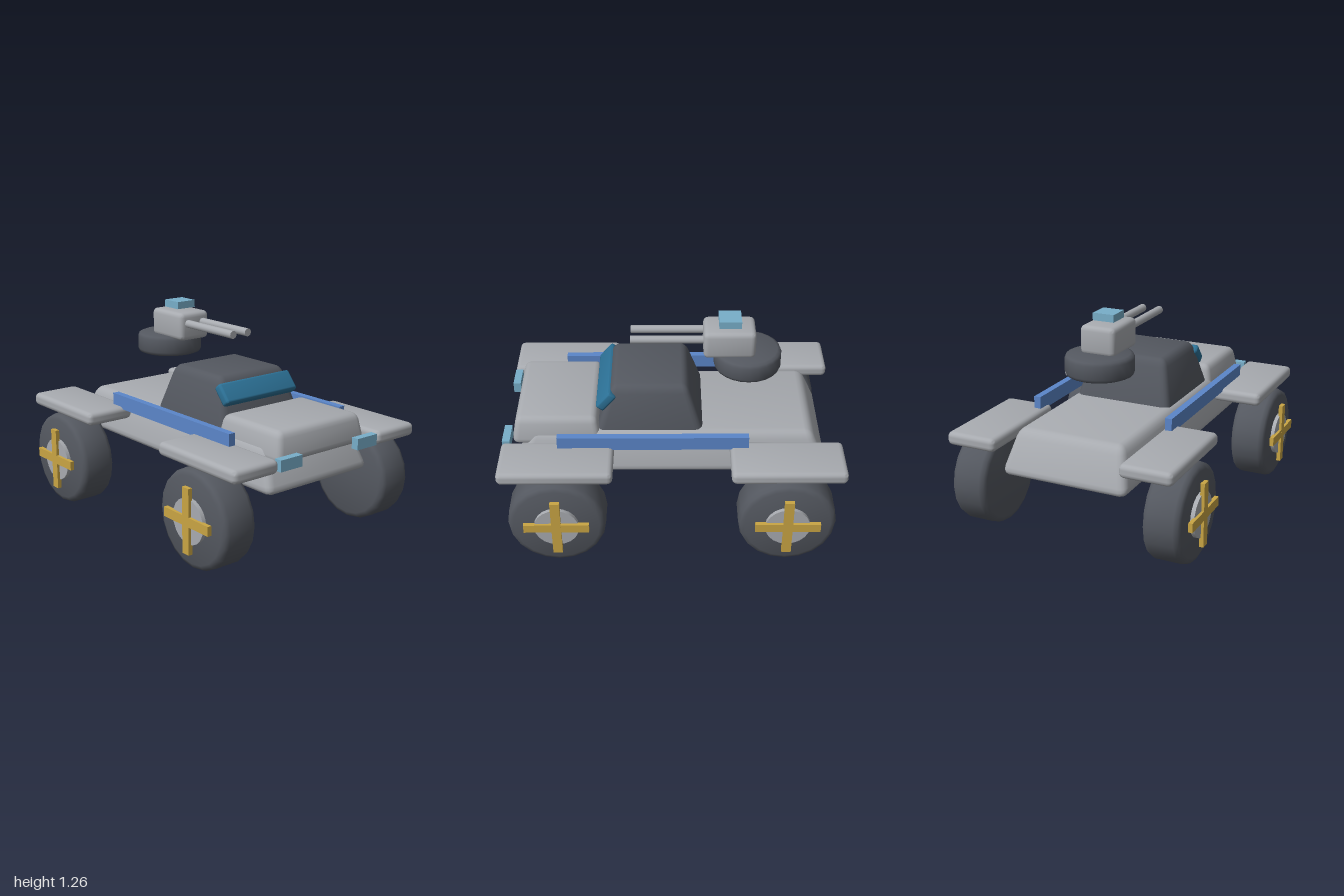
import * as THREE from 'three';
import { toCreasedNormals } from 'three/addons/utils/BufferGeometryUtils.js';
import { RoundedBoxGeometry } from 'three/addons/geometries/RoundedBoxGeometry.js';

const paint = (name, color) => {
  const m = new THREE.MeshStandardMaterial({ color });
  m.name = name;
  return m;
};

export function createModel() {
  const grey = paint('hull grey', 0xa8abb0);
  const dark = paint('dark rubber', 0x545860);
  const gold = paint('gold', 0xc9a544);
  const lamp = paint('pale blue lamp', 0x78aec9);
  const glass = paint('teal glass', 0x2c7196);
  const blue = paint('rail blue', 0x5b86c9);

  const model = new THREE.Group();
  model.name = 'buggy';

  const add = (name, geometry, material, x, y, z, parent = model) => {
    const mesh = new THREE.Mesh(geometry, material);
    mesh.name = name;
    mesh.position.set(x, y, z);
    parent.add(mesh);
    return mesh;
  };

  // Rounded box whose top is narrowed by the factors tx and tz
  const softBox = (w, h, d, r, tx = 1, tz = 1) => {
    const g = new RoundedBoxGeometry(w, h, d, 2, r);
    const p = g.attributes.position;
    for (let i = 0; i < p.count; i++) {
      const t = p.getY(i) / h + 0.5;
      p.setX(i, p.getX(i) * (1 + (tx - 1) * t));
      p.setZ(i, p.getZ(i) * (1 + (tz - 1) * t));
    }
    return toCreasedNormals(g, 0.9);
  };

  // Disc with chamfered rims, axis along y
  const disc = (r, h, c, sides) => toCreasedNormals(new THREE.LatheGeometry([
    [0, -h / 2], [r - c, -h / 2], [r - c * 0.3, -h / 2 + c * 0.3], [r, -h / 2 + c],
    [r, h / 2 - c], [r - c * 0.3, h / 2 - c * 0.3], [r - c, h / 2], [0, h / 2],
  ].map(([x, y]) => new THREE.Vector2(x, y)), sides), 0.9);

  // Body
  add('hull', softBox(1.87, 0.26, 0.79, 0.05, 0.88, 0.83), grey, 0, 0.538, 0);
  add('hood', softBox(0.535, 0.175, 0.68, 0.04, 0.88, 0.9), grey, 0.678, 0.668, 0);
  add('cabin', softBox(0.66, 0.32, 0.63, 0.05, 0.66, 0.76), dark, 0.13, 0.775, 0);
  const windshield = add('windshield', softBox(0.06, 0.13, 0.54, 0.016), glass, 0.385, 0.84, 0);
  windshield.rotation.z = 0.7;

  // Paired fenders, rails, headlamps and wheels
  for (const s of [1, -1]) {
    add('sideRail', new THREE.BoxGeometry(1.11, 0.085, 0.042), blue, 0.11, 0.672, 0.424 * s);
    add('headlamp', new THREE.BoxGeometry(0.045, 0.066, 0.156), lamp, 0.973, 0.602, 0.291 * s);
    for (const e of [1, -1]) {
      add('fender', softBox(0.66, 0.08, 0.31, 0.03), grey, 0.668 * e, 0.603, 0.534 * s);

      const wheel = new THREE.Group();
      wheel.name = 'wheel';
      wheel.position.set(0.668 * e, 0.285, 0.6 * s);
      wheel.rotation.y = s > 0 ? 0 : Math.PI;
      model.add(wheel);
      add('tyre', disc(0.285, 0.22, 0.035, 20), dark, 0, 0, 0, wheel).rotation.x = Math.PI / 2;
      add('hub', new THREE.CylinderGeometry(0.13, 0.13, 0.05, 20), grey, 0, 0, 0.108, wheel).rotation.x = Math.PI / 2;
      add('spokeUpright', new THREE.BoxGeometry(0.055, 0.378, 0.025), gold, 0, 0.006, 0.137, wheel);
      add('spokeLevel', new THREE.BoxGeometry(0.378, 0.055, 0.0245), gold, 0, 0.006, 0.137, wheel);
    }
  }

  // Turret on its round base
  add('turretBase', disc(0.2, 0.126, 0.025, 24), dark, -0.45, 0.983, 0);
  add('turretHead', softBox(0.305, 0.172, 0.218, 0.03), grey, -0.338, 1.117, 0);
  add('sightBlock', new THREE.BoxGeometry(0.13, 0.044, 0.132), lamp, -0.34, 1.238, 0);
  for (const s of [1, -1]) {
    const barrel = add('barrel', new THREE.CylinderGeometry(0.024, 0.024, 0.45, 14), grey, 0.015, 1.138, 0.056 * s);
    barrel.rotation.z = Math.PI / 2;
  }

  return model;
}
